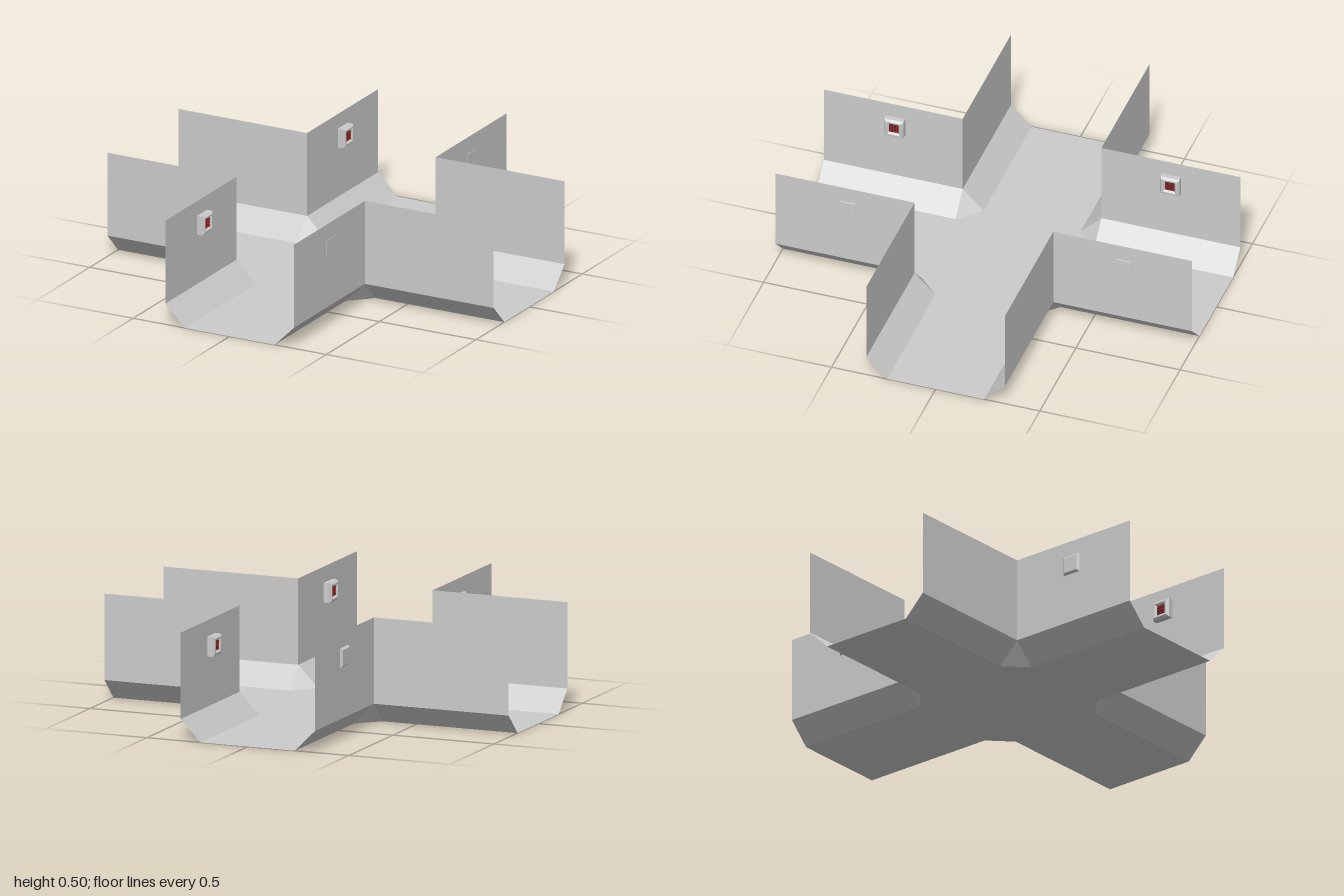
import * as THREE from 'three';

const W = 0.333;   // half width between walls
const F = 0.233;   // half width of the flat floor
const L = 1;       // arm length from the centre
const B = 0.1;     // top of the sloped skirting
const H = 0.5;     // top of the walls

const sheet = new THREE.MeshStandardMaterial({ color: 0xcccccc, side: THREE.DoubleSide, flatShading: true });
const grey = new THREE.MeshStandardMaterial({ color: 0xcccccc, flatShading: true });
const dark = new THREE.MeshStandardMaterial({ color: 0x2a2a2a });
const red = new THREE.MeshStandardMaterial({ color: 0xb02020 });

function add(parent, name, geometry, material, x = 0, y = 0, z = 0) {
  const mesh = new THREE.Mesh(geometry, material);
  mesh.name = name;
  mesh.position.set(x, y, z);
  parent.add(mesh);
  return mesh;
}

// Flat convex face from its corners
function face(points) {
  const g = new THREE.BufferGeometry().setFromPoints(points.map((p) => new THREE.Vector3(...p)));
  const index = [];
  for (let i = 1; i < points.length - 1; i++) index.push(0, i, i + 1);
  g.setIndex(index);
  g.computeVertexNormals();
  return g;
}

// The same face on the neighbouring arm, mirrored across the diagonal
const swap = (points) => points.map(([x, y, z]) => [z, y, x]).reverse();

function square(h) {
  return [[-h, -h], [h, -h], [h, h], [-h, h]].map(([x, y]) => new THREE.Vector2(x, y));
}

// Walls, skirtings and the small corner facet of one quadrant
function createCorner() {
  const corner = new THREE.Group();
  corner.name = 'corner';
  const skirting = [[F, 0, L], [W, B, L], [W, B, W], [F, 0, W]];
  const wall = [[W, B, L], [W, H, L], [W, H, W], [W, B, W]];
  add(corner, 'skirting', face(skirting), sheet);
  add(corner, 'skirting', face(swap(skirting)), sheet);
  add(corner, 'wall', face(wall), sheet);
  add(corner, 'wall', face(swap(wall)), sheet);
  add(corner, 'cornerFacet', face([[F, 0, W], [W, B, W], [W, 0, F]]), sheet);
  return corner;
}

// Wall-mounted button box, facing +z, centred on its own origin
function createButtonBox() {
  const box = new THREE.Group();
  box.name = 'buttonBox';
  const shape = new THREE.Shape(square(0.037));
  shape.holes.push(new THREE.Path(square(0.03).reverse()));
  const housing = new THREE.ExtrudeGeometry(shape, {
    depth: 0.025, bevelEnabled: true, bevelThickness: 0.01, bevelSize: 0.009, bevelSegments: 1,
  });
  add(box, 'housing', housing, grey, 0, 0, -0.0125);
  add(box, 'backPlate', new THREE.BoxGeometry(0.06, 0.06, 0.034), grey, 0, 0, -0.0055);
  add(box, 'panel', new THREE.BoxGeometry(0.056, 0.056, 0.003), dark, 0, 0, 0.0125);
  const button = new THREE.BoxGeometry(0.009, 0.009, 0.005);
  for (let i = -1; i <= 1; i++) {
    for (let j = -1; j <= 1; j++) add(box, 'button', button, red, i * 0.015, j * 0.015, 0.0155);
  }
  return box;
}

export function createModel() {
  const model = new THREE.Group();
  model.name = 'corridorCrossing';

  // Cross-shaped floor with clipped inner corners
  const outline = [];
  for (let k = 0; k < 4; k++) {
    for (const [x, y] of [[L, -F], [L, F], [W, F], [F, W]]) {
      outline.push(new THREE.Vector2(x, y).rotateAround(new THREE.Vector2(), k * Math.PI / 2));
    }
  }
  const floor = new THREE.ShapeGeometry(new THREE.Shape(outline)).rotateX(-Math.PI / 2);
  add(model, 'floor', floor, sheet);

  // Four identical corners
  for (let k = 0; k < 4; k++) {
    const corner = createCorner();
    corner.rotation.y = k * Math.PI / 2;
    model.add(corner);
  }

  // Button boxes set into the walls of the front and back arms, facing inwards
  for (const z of [0.655, -0.67]) {
    for (const x of [0.312, -0.321]) {
      const box = createButtonBox();
      box.position.set(x, 0.383, z);
      box.rotation.y = -Math.sign(x) * Math.PI / 2;
      model.add(box);
    }
  }
  return model;
}
